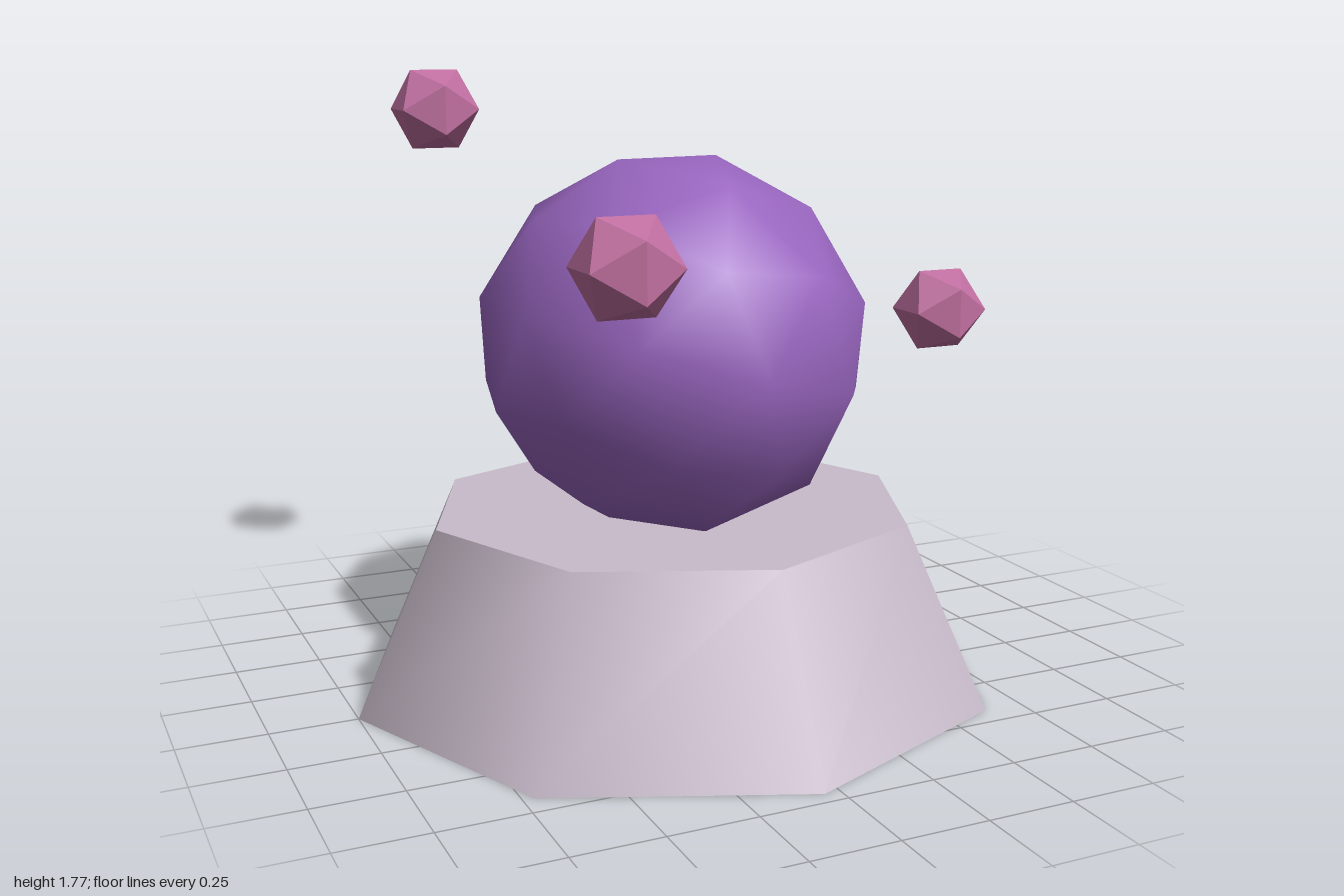
import * as THREE from 'three';

const CENTER_X = -0.044; // shared axis of pedestal, orb and gem orbit

function part(name, geometry, color, x, y, z, flatShading = false) {
  const mesh = new THREE.Mesh(geometry, new THREE.MeshStandardMaterial({ color, flatShading }));
  mesh.name = name;
  mesh.position.set(x, y, z);
  return mesh;
}

export function createModel() {
  const model = new THREE.Group();
  model.name = 'orbOnPedestal';

  // Eight-sided tapered pedestal
  const height = 0.52;
  model.add(part('pedestal', new THREE.CylinderGeometry(0.717, 0.956, height, 8),
    0xc9bccb, CENTER_X, height / 2, 0));

  // Smooth low-poly orb, stretched front to back and tilted sideways
  const orb = part('orb', new THREE.IcosahedronGeometry(0.557, 1), 0x9966c0, CENTER_X, 1, 0);
  orb.scale.z = 1.15;
  orb.rotation.z = 0.29;
  model.add(orb);

  // Three faceted gems rising in a spiral around the orb
  const gems = new THREE.Group();
  gems.name = 'floatingGems';
  const gemShape = new THREE.IcosahedronGeometry(0.1434, 0);
  for (let i = 0; i < 3; i++) {
    const angle = i * 2.1;
    gems.add(part(`gem${i + 1}`, gemShape, 0xc06fa0,
      CENTER_X + 0.922 * Math.cos(angle), 1.038 + 0.305 * i, 0.922 * Math.sin(angle), true));
  }
  model.add(gems);

  return model;
}
